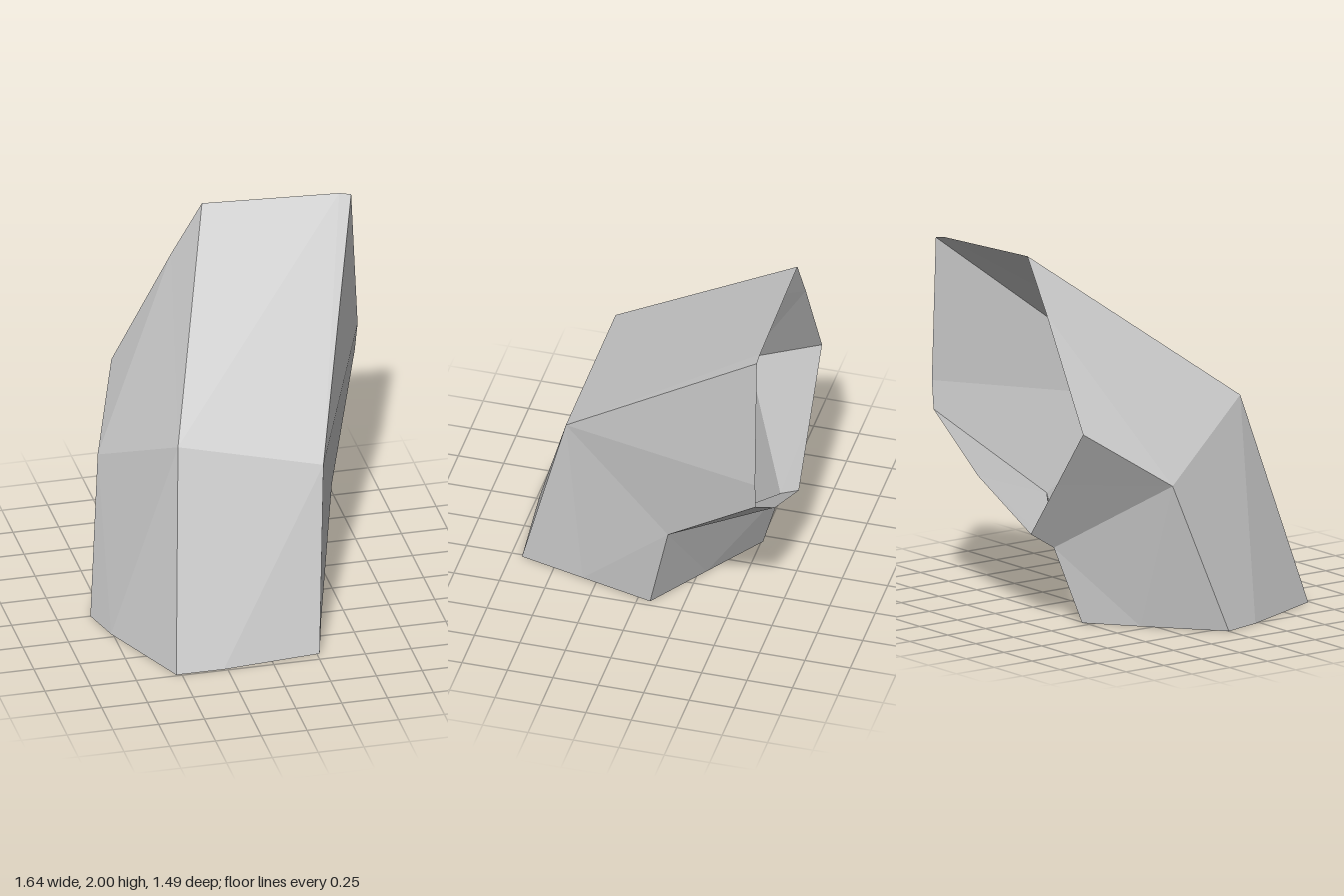
import * as THREE from 'three';

// Bent five-sided rock tube, open at the foot and at the back.
// Corners run front-left, front-right, right, back, left.
const foot = [[-0.53, 0, 0.74], [0.265, 0, 0.69], [0.465, 0, -0.07], [-0.2, 0, -0.51], [-0.82, 0, 0]];
const bend = [[-0.43, 1.165, 0.365], [0.35, 0.99, 0.425], [0.545, 0.525, -0.19], [-0.11, 0.41, -0.63], [-0.71, 0.81, -0.29]];
const end = [[-0.03, 2, -0.745], [0.785, 1.95, -0.745], [0.805, 1.01, -0.745], [-0.06, 0.49, -0.745], [-0.525, 1.12, -0.745]];

// Extra point on each rim side, following the corner of the same index
const footMid = [[-0.27, 0, 0.74], [0.36, 0, 0.33], [0.13, 0, -0.29], [-0.45, 0, -0.31], [-0.76, 0, 0.22]];
const endMid = [[0.72, 1.965, -0.745], [0.82, 1.165, -0.745], [0.41, 0.72, -0.745], [-0.29, 0.8, -0.745], [-0.2, 1.715, -0.745]];

function facetMesh(name, triangles, material) {
  const geometry = new THREE.BufferGeometry();
  geometry.setAttribute('position', new THREE.Float32BufferAttribute(triangles.flat(2), 3));
  geometry.computeVertexNormals();
  const mesh = new THREE.Mesh(geometry, material);
  mesh.name = name;
  return mesh;
}

export function createModel() {
  const stone = new THREE.MeshStandardMaterial({ color: 0xcccccc, flatShading: true, side: THREE.DoubleSide });
  stone.name = 'light grey stone';

  const lower = [];
  const upper = [];
  for (let i = 0; i < 5; i++) {
    const j = (i + 1) % 5;
    // Lower wall: creased from the rim point to the next bend corner
    lower.push(
      [foot[i], footMid[i], bend[i]],
      [footMid[i], bend[j], bend[i]],
      [footMid[i], foot[j], bend[j]],
    );
    // Upper wall: creased from the bend corner to the rim point
    upper.push(
      [bend[i], endMid[i], end[i]],
      [bend[i], bend[j], endMid[i]],
      [bend[j], end[j], endMid[i]],
    );
  }

  const group = new THREE.Group();
  group.name = 'bentRock';
  group.add(facetMesh('lowerColumn', lower, stone), facetMesh('leaningArm', upper, stone));
  return group;
}
